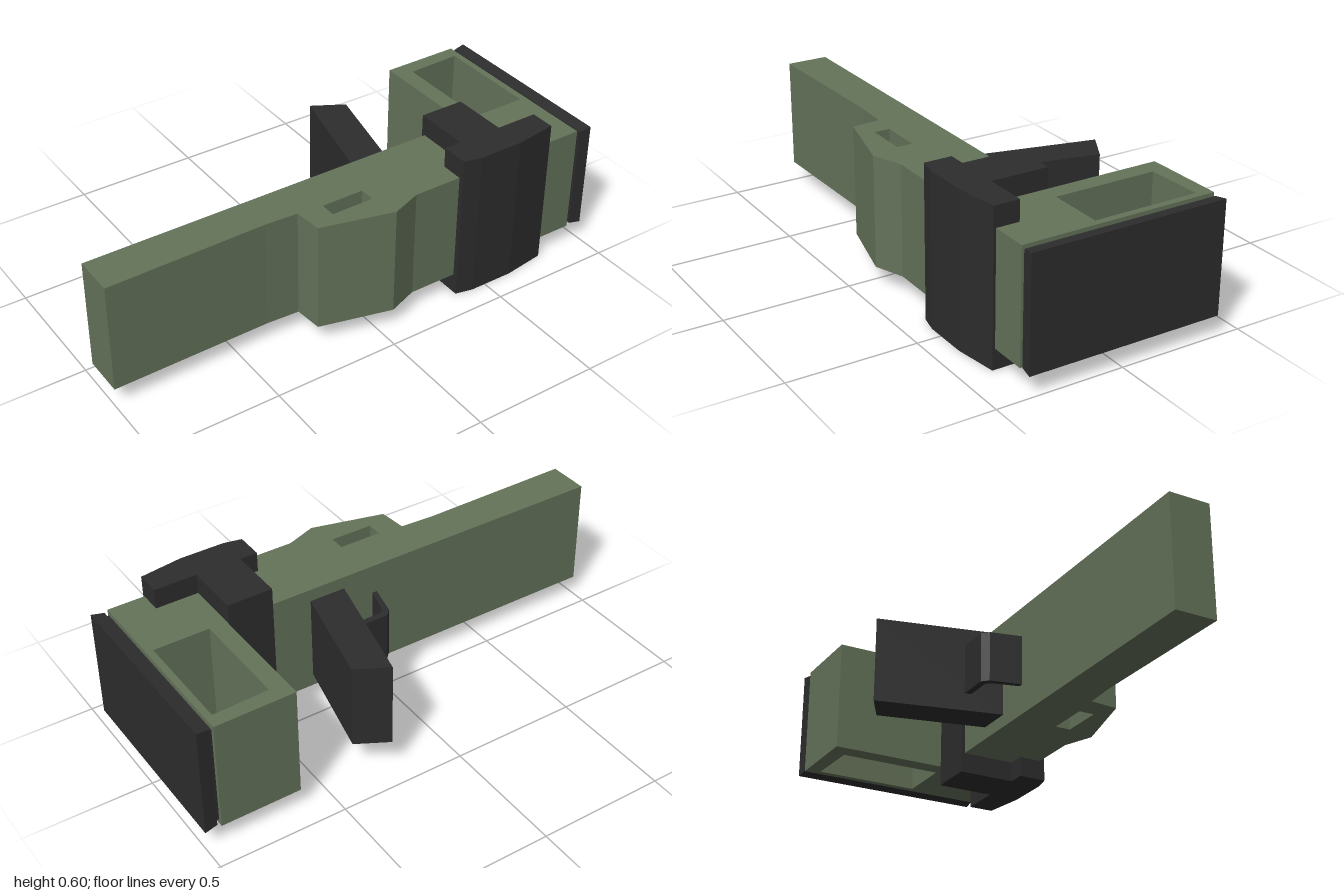
import * as THREE from 'three';

const green = new THREE.MeshStandardMaterial({ color: 0x65735a });
green.name = 'olive green';
const dark = new THREE.MeshStandardMaterial({ color: 0x2d2d2d });
dark.name = 'charcoal';

// Extrude an outline given as [x, z] points between two heights
function slab(name, material, outline, y0, y1, holes = []) {
  const toPoints = (list) => list.map(([x, z]) => new THREE.Vector2(x, z));
  const shape = new THREE.Shape(toPoints(outline));
  for (const h of holes) shape.holes.push(new THREE.Path(toPoints(h)));
  const geometry = new THREE.ExtrudeGeometry(shape, { depth: y1 - y0, bevelEnabled: false });
  geometry.rotateX(Math.PI / 2).translate(0, y1, 0);
  const mesh = new THREE.Mesh(geometry, material);
  mesh.name = name;
  return mesh;
}

const rect = (x0, z0, x1, z1) => [[x0, z0], [x1, z0], [x1, z1], [x0, z1]];

export function createModel() {
  const model = new THREE.Group();
  model.name = 'model';

  // Long body with an open frame at its rear end and a small slot
  const slot = rect(-0.14, 0.24, 0.03, 0.302);
  const body = [
    [-1, 0.068], [-1, 0.233], [-0.37, 0.223], [-0.24, 0.23], [-0.23, 0.343],
    [0.055, 0.415], [0.175, 0.37], [0.937, 0.37], [0.937, -0.405], [0.62, -0.402], [0.62, 0.068],
  ];
  const frameHole = [[0.69, -0.34], [0.91, -0.348], [0.91, 0.068], [0.69, 0.068]];
  model.add(slab('body', green, body, 0.08, 0.52, [slot, frameHole]));

  // Dark block deep inside the slot
  model.add(slab('slotCore', dark, slot, 0.2, 0.4));

  // T-shaped block through the body
  model.add(slab('crossBlock', dark, [
    [0.44, 0.053], [0.44, 0.28], [0.37, 0.28], [0.37, 0.39], [0.44, 0.405],
    [0.62, 0.405], [0.79, 0.38], [0.79, 0.28], [0.62, 0.28], [0.62, 0.053],
  ], 0, 0.6));

  // Slanted grip
  model.add(slab('grip', dark, [[0.13, 0.068], [0.245, -0.42], [0.37, -0.35], [0.275, 0.068]], 0.13, 0.47));

  // Bent guard in front of the grip
  model.add(slab('guard', dark, [
    [-0.015, 0.068], [0.013, -0.055], [0.037, -0.08], [0.17, -0.08],
    [0.17, -0.055], [0.05, -0.055], [0.034, -0.04], [0.005, 0.068],
  ], 0.2, 0.4));

  // End plate on a recessed neck, slightly wider on its outer face
  model.add(slab('endNeck', dark, rect(0.93, -0.39, 0.955, 0.36), 0.1, 0.5));
  const plate = new THREE.BoxGeometry(0.05, 0.44, 0.78);
  const p = plate.attributes.position;
  for (let i = 0; i < p.count; i++) {
    if (p.getX(i) < 0) p.setXYZ(i, p.getX(i), p.getY(i) * 0.965, p.getZ(i) * 0.985);
  }
  plate.computeVertexNormals();
  plate.translate(0.975, 0.3, -0.015);
  const endPlate = new THREE.Mesh(plate, dark);
  endPlate.name = 'endPlate';
  model.add(endPlate);

  return model;
}
